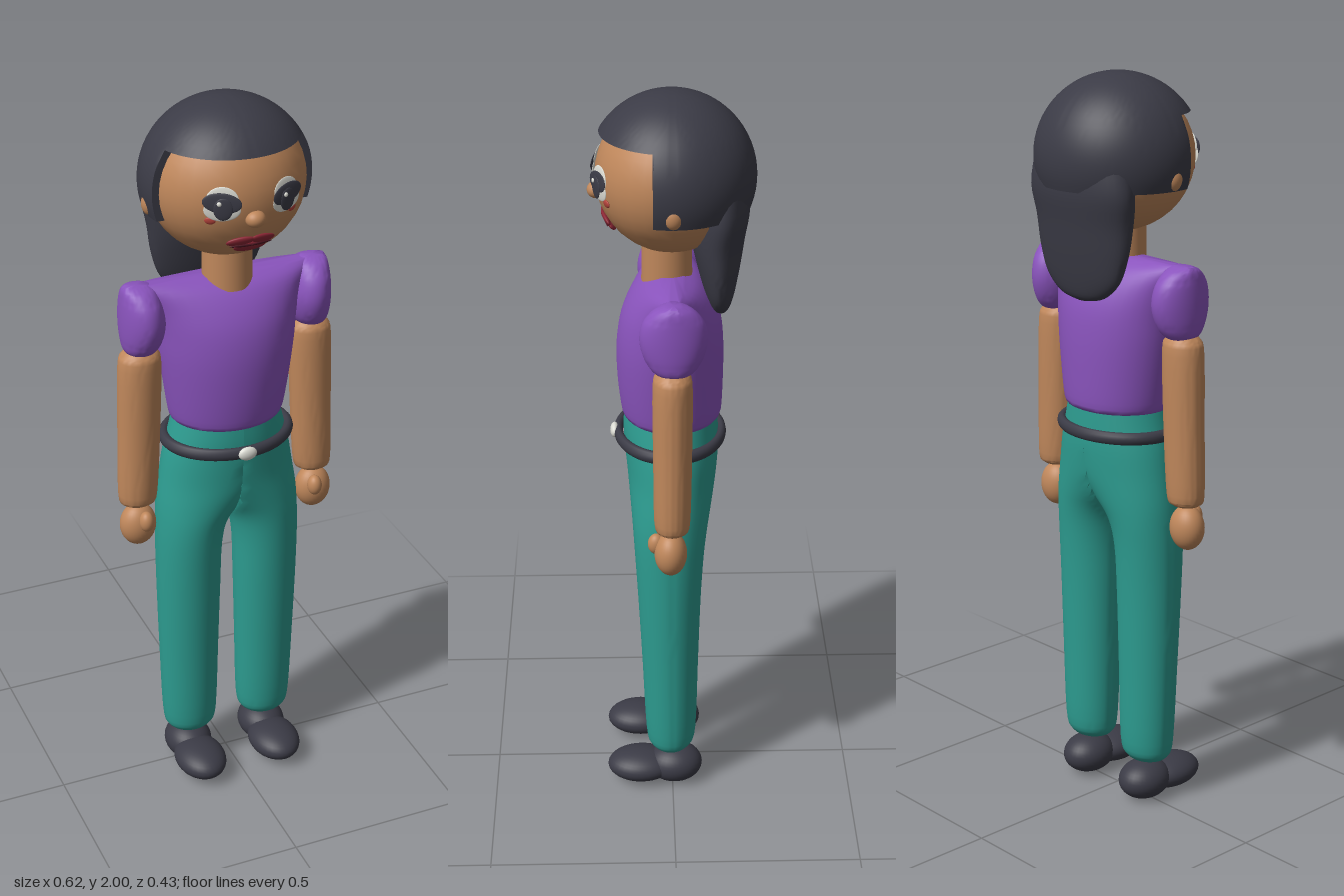
import * as THREE from 'three';
import { toCreasedNormals } from 'three/addons/utils/BufferGeometryUtils.js';

const mat = (name, color) => {
  const m = new THREE.MeshStandardMaterial({ color });
  m.name = name;
  return m;
};

// Closed surface through rings of points, listed from bottom to top
function loft(rings) {
  const n = rings[0].length, pos = [], idx = [];
  rings.forEach(r => r.forEach(p => pos.push(...p)));
  for (let r = 0; r < rings.length - 1; r++) {
    for (let i = 0; i < n; i++) {
      const a = r * n + i, b = r * n + (i + 1) % n;
      idx.push(a, a + n, b, b, a + n, b + n);
    }
  }
  [0, rings.length - 1].forEach((r, top) => {
    const c = pos.length / 3, ring = rings[r];
    pos.push(...[0, 1, 2].map(k => ring.reduce((s, p) => s + p[k], 0) / n));
    for (let i = 0; i < n; i++) {
      const a = r * n + i, b = r * n + (i + 1) % n;
      if (top) idx.push(c, b, a); else idx.push(c, a, b);
    }
  });
  const g = new THREE.BufferGeometry();
  g.setAttribute('position', new THREE.Float32BufferAttribute(pos, 3));
  g.setIndex(idx);
  return toCreasedNormals(g, 0.9);
}

// Horizontal ellipse, with an optional rule to adjust each point
function ellipse(y, cx, rx, cz, rz, n = 40, rule = (p) => p) {
  return Array.from({ length: n }, (_, i) => {
    const a = i / n * Math.PI * 2;
    return rule([cx + rx * Math.cos(a), y, cz + rz * Math.sin(a)]);
  });
}

// Smooth body of ellipses; each row is [y, centre x, radius x, centre z, radius z]
function body(rows, side = 1, rule) {
  const cols = rows[0].map((_, k) => new THREE.SplineCurve(rows.map((r, i) => new THREE.Vector2(i, r[k]))));
  const steps = (rows.length - 1) * 4, rings = [];
  for (let i = 0; i <= steps; i++) {
    const [y, cx, rx, cz, rz] = cols.map(c => c.getPoint(i / steps).y);
    rings.push(ellipse(y, side * cx, Math.max(rx, 0.002), cz, Math.max(rz, 0.002), 40, rule));
  }
  return loft(rings);
}

export function createModel() {
  const model = new THREE.Group();
  model.name = 'woman';
  const skin = mat('skin', 0xbf875b), dark = mat('charcoal', 0x3b3b46), purple = mat('purple', 0x8a54bd),
    teal = mat('teal', 0x2d9c90), white = mat('offWhite', 0xdcdcd4), lip = mat('lipRed', 0x8c2735),
    blush = mat('blushRed', 0xb5443c), lipLine = mat('darkLip', 0x4a1420);

  const add = (name, geo, material) => {
    const m = new THREE.Mesh(geo, material);
    m.name = name;
    model.add(m);
    return m;
  };
  const ball = (name, material, p, r) => {
    const m = add(name, new THREE.SphereGeometry(1, 32, 20), material);
    m.position.set(...p);
    m.scale.set(...r);
    return m;
  };

  // Head, neck and nose
  const hc = [0, 1.785, 0], hr = [0.206, 0.196, 0.194];
  ball('head', skin, hc, hr);
  ball('nose', skin, [0, 1.745, 0.19], [0.026, 0.022, 0.024]);
  add('neck', new THREE.CylinderGeometry(0.064, 0.066, 0.14, 32), skin).position.set(0, 1.57, 0.012);

  // Hair: ellipsoid trimmed to a fringe in front and a low hairline behind
  const hairRing = (y, cut) => {
    const k = Math.sqrt(Math.max(0.0001, 1 - ((y - 1.785) / 0.215) ** 2));
    return ellipse(y, 0, 0.223 * k, 0, 0.216 * k, 128, p => [p[0], p[1], cut ? Math.min(p[2], 0.05) : p[2]]);
  };
  const rings = [];
  for (let i = 0; i <= 10; i++) rings.push(hairRing(1.715 + 0.185 * i / 10, true));
  for (let i = 0; i <= 14; i++) rings.push(hairRing(1.9 + 0.1 * Math.sin(i / 14 * Math.PI / 2), false));
  add('hair', loft(rings), dark);
  add('ponytail', body([
    [1.42, 0, 0.02, -0.125, 0.008], [1.435, 0, 0.08, -0.125, 0.025], [1.48, 0, 0.132, -0.123, 0.04],
    [1.55, 0, 0.157, -0.12, 0.056], [1.63, 0, 0.168, -0.118, 0.07], [1.71, 0, 0.18, -0.125, 0.075],
    [1.79, 0, 0.165, -0.125, 0.07],
  ]), dark);

  // Flattened spots laid on the face along its surface
  const spot = (name, material, x, y, rx, ry, lift, tilt = 0, thick = 0.004) => {
    const u = (x - hc[0]) / hr[0], v = (y - hc[1]) / hr[1];
    const z = hr[2] * Math.sqrt(1 - u * u - v * v);
    const normal = new THREE.Vector3(u / hr[0], v / hr[1], z / hr[2] ** 2).normalize();
    const m = ball(name, material, [x, y, z], [rx, ry, thick]);
    m.position.addScaledVector(normal, lift);
    m.lookAt(m.position.clone().add(normal));
    m.rotateZ(tilt);
  };

  // Shirt body
  add('shirt', body([
    [1.12, 0, 0.145, 0, 0.122], [1.135, 0, 0.156, 0, 0.132], [1.22, 0, 0.17, 0.003, 0.139],
    [1.32, 0, 0.184, 0.004, 0.14], [1.4, 0, 0.193, 0.002, 0.13], [1.46, 0, 0.208, 0, 0.106],
    [1.505, 0, 0.235, 0, 0.07], [1.528, 0, 0.262, 0, 0.028],
  ]), purple);

  // Belt and buckle
  const belt = add('belt', new THREE.TorusGeometry(0.17, 0.015, 12, 64), dark);
  belt.rotation.x = Math.PI / 2;
  belt.scale.set(1, 0.81, 1.15);
  belt.position.set(0, 1.062, 0.004);
  ball('buckle', white, [0, 1.063, 0.152], [0.026, 0.019, 0.012]);

  for (const s of [1, -1]) {
    const side = s > 0 ? 'left' : 'right';

    // Half of the trousers: the hip narrows into one leg
    add(side + 'TrouserHalf', body([
      [0.115, 0.113, 0.035, 0.005, 0.03], [0.13, 0.113, 0.064, 0.005, 0.055], [0.18, 0.113, 0.077, 0.004, 0.069],
      [0.4, 0.114, 0.084, 0.006, 0.077], [0.6, 0.114, 0.089, 0.008, 0.085], [0.74, 0.112, 0.092, 0.008, 0.093],
      [0.82, 0.1, 0.102, 0.006, 0.1], [0.88, 0.068, 0.13, 0.003, 0.108], [0.95, 0.02, 0.168, 0, 0.118],
      [1.02, 0, 0.176, 0, 0.125], [1.08, 0, 0.16, 0.002, 0.126], [1.13, 0, 0.147, 0.002, 0.124],
    ], s, p => [s * Math.max(0, s * p[0]), p[1], p[2]]), teal);

    // Shoe
    ball(side + 'ShoeToe', dark, [s * 0.115, 0.052, 0.088], [0.071, 0.044, 0.095]);
    ball(side + 'ShoeHeel', dark, [s * 0.115, 0.056, -0.006], [0.066, 0.055, 0.078]);

    // Puffed sleeve
    add(side + 'Sleeve', body([
      [1.337, 0.245, 0.012, 0, 0.015], [1.347, 0.24, 0.04, 0, 0.048], [1.38, 0.235, 0.053, 0, 0.073],
      [1.43, 0.232, 0.058, 0, 0.086], [1.48, 0.235, 0.053, 0, 0.078], [1.515, 0.24, 0.044, 0, 0.05],
      [1.53, 0.245, 0.032, 0, 0.018],
    ], s), purple);

    // Arm, hand and thumb
    add(side + 'Arm', body([
      [0.89, 0.256, 0.025, 0.004, 0.022], [0.897, 0.256, 0.042, 0.004, 0.037], [0.925, 0.255, 0.053, 0.004, 0.047],
      [1.1, 0.248, 0.057, 0.003, 0.05], [1.3, 0.242, 0.058, 0.003, 0.051], [1.34, 0.24, 0.047, 0.003, 0.042],
      [1.355, 0.24, 0.025, 0.003, 0.022],
    ], s), skin);
    ball(side + 'Hand', skin, [s * 0.258, 0.829, 0.008], [0.05, 0.061, 0.043]);
    ball(side + 'Thumb', skin, [s * 0.247, 0.852, 0.046], [0.02, 0.029, 0.022]);
    ball(side + 'Ear', skin, [s * 0.205, 1.745, 0], [0.02, 0.03, 0.024]);

    // Eye, lashes, cheek and lips
    spot(side + 'EyeLid', white, s * 0.083, 1.802, 0.041, 0.035, 0.004);
    spot(side + 'EyeWhite', white, s * 0.083, 1.779, 0.046, 0.03, 0.005);
    spot(side + 'Lashes', dark, s * 0.083, 1.797, 0.049, 0.026, 0.009, s * 0.12);
    spot(side + 'Iris', dark, s * 0.081, 1.783, 0.024, 0.029, 0.012);
    spot(side + 'EyeGlint', white, s * 0.081 - 0.008, 1.797, 0.006, 0.006, 0.016);
    spot(side + 'Cheek', blush, s * 0.108, 1.748, 0.014, 0.01, 0.003);
    spot(side + 'UpperLip', lip, s * 0.029, 1.683, 0.037, 0.014, 0.004, s * -0.15, 0.007);
    spot(side + 'LipLine', lipLine, s * 0.025, 1.673, 0.031, 0.004, 0.01, 0, 0.003);
  }
  spot('lowerLip', lip, 0, 1.661, 0.043, 0.02, 0.004, 0, 0.008);
  return model;
}
